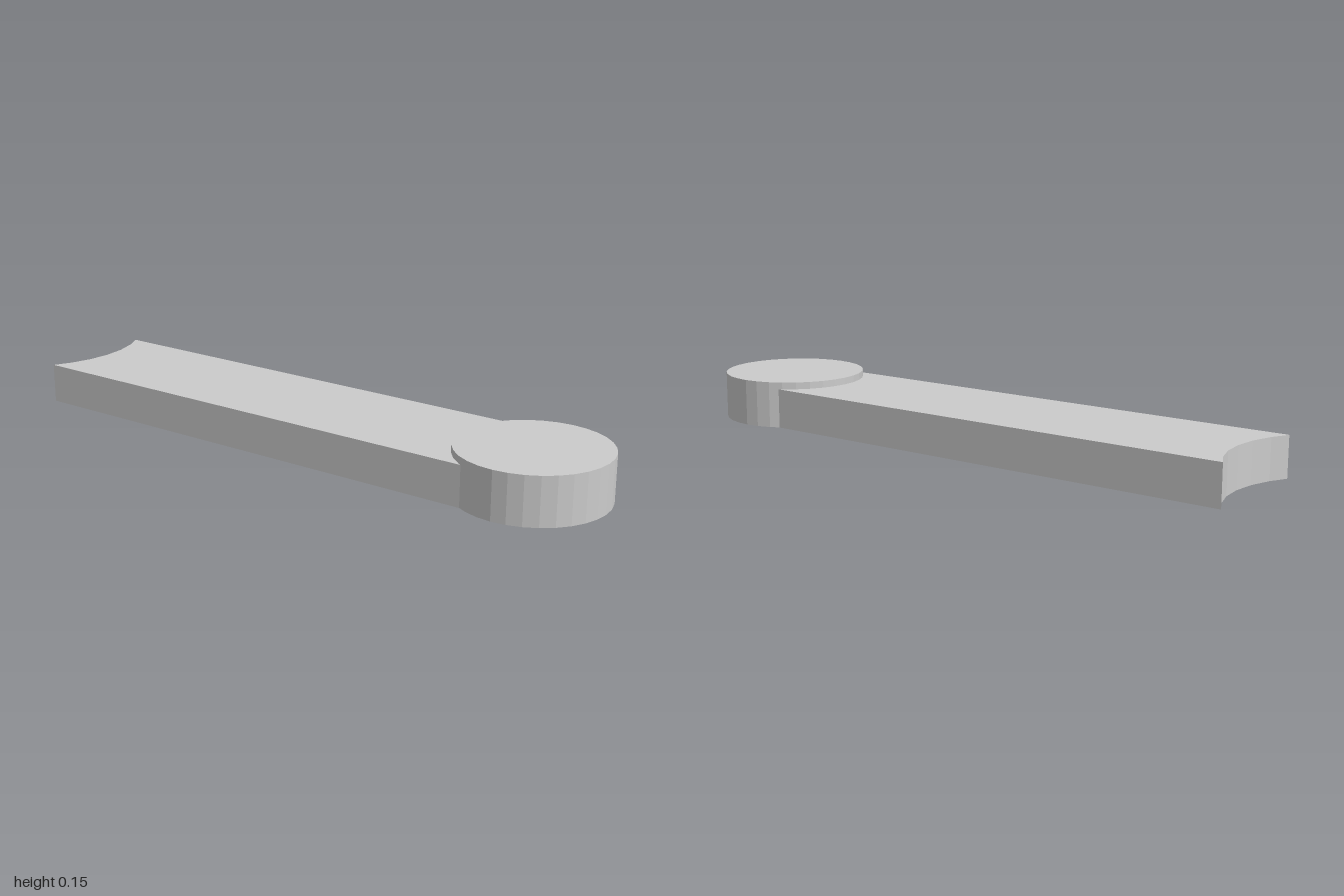
import * as THREE from 'three';

const SIDES = 32;
const HALF_WIDTH = 0.203;
const material = new THREE.MeshStandardMaterial({ color: 0xcccccc, flatShading: true });

// Faceted arc across the arm's width, from -x to +x; dir is +1 or -1 in plan y
function arcPoints(centreY, radius, dir) {
  const step = (2 * Math.PI) / SIDES;
  const end = Math.asin(HALF_WIDTH / radius);
  const n = Math.floor(end / step);
  const angles = [-end];
  for (let i = -n; i <= n; i++) angles.push(i * step);
  angles.push(end);
  return angles.map((a) => new THREE.Vector2(radius * Math.sin(a), centreY + dir * radius * Math.cos(a)));
}

export function createModel() {
  const model = new THREE.Group();
  const discRadius = 0.236, discHeight = 0.153, discZ = 1 - discRadius;
  const armHeight = 0.13, notchRadius = 0.384;

  // Round end disc
  const disc = new THREE.Mesh(
    new THREE.CylinderGeometry(discRadius, discRadius, discHeight, SIDES), material);
  disc.name = 'endDisc';
  disc.position.set(0, discHeight / 2, discZ);
  model.add(disc);

  // Flat arm: meets the disc at the front, scooped out at the back (plan y = -z)
  const notchY = 1 + Math.sqrt(notchRadius ** 2 - HALF_WIDTH ** 2);
  const front = arcPoints(-discZ, discRadius, 1);
  const back = arcPoints(notchY, notchRadius, -1).reverse();
  const armGeometry = new THREE.ExtrudeGeometry(new THREE.Shape([...front, ...back]), {
    depth: armHeight, bevelEnabled: false,
  });
  armGeometry.rotateX(-Math.PI / 2);
  const arm = new THREE.Mesh(armGeometry, material);
  arm.name = 'arm';
  model.add(arm);

  return model;
}
